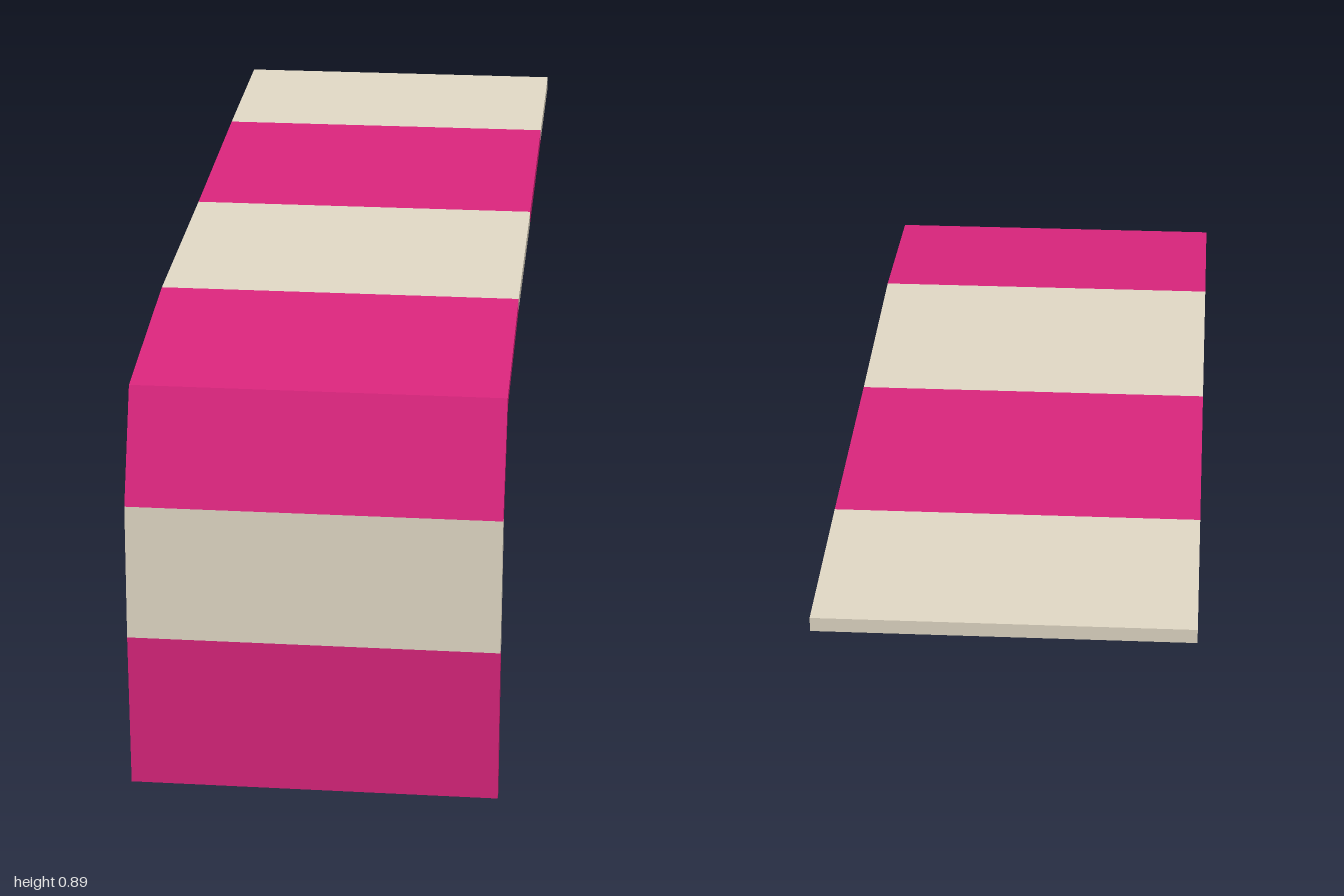
import * as THREE from 'three';

const WIDTH = 0.726;

// Joints of the bent strip, from floor to far end: outer z, y and inner z, y
const JOINTS = [
  [1, 0, 0.972, 0],
  [1, 0.318, 0.972, 0.318],
  [0.986, 0.59, 0.959, 0.586],
  [0.895, 0.805, 0.878, 0.783],
  [0.48, 0.853, 0.48, 0.825],
  [-0.04, 0.863, -0.04, 0.834],
  [-0.585, 0.88, -0.585, 0.851],
  [-1, 0.888, -1, 0.859],
];

export function createModel() {
  const pink = new THREE.MeshStandardMaterial({ color: 0xd9257c });
  pink.name = 'pink';
  const beige = new THREE.MeshStandardMaterial({ color: 0xe0d7c4 });
  beige.name = 'beige';

  // Panels between successive joints
  const panels = [
    ['lowerFrontPanel', pink],
    ['middleFrontPanel', beige],
    ['upperFrontPanel', pink],
    ['slopedTopPanel', pink],
    ['frontTopPanel', beige],
    ['middleTopPanel', pink],
    ['rearTopPanel', beige],
  ];

  const group = new THREE.Group();
  group.name = 'bentStripedPanel';
  panels.forEach(([name, material], i) => {
    const [az, ay, bz, by] = JOINTS[i];
    const [cz, cy, dz, dy] = JOINTS[i + 1];
    const section = new THREE.Shape([
      new THREE.Vector2(az, ay),
      new THREE.Vector2(cz, cy),
      new THREE.Vector2(dz, dy),
      new THREE.Vector2(bz, by),
    ]);
    const geometry = new THREE.ExtrudeGeometry(section, { depth: WIDTH, bevelEnabled: false });
    geometry.translate(0, 0, -WIDTH / 2);
    geometry.rotateY(-Math.PI / 2); // section x becomes model z
    const mesh = new THREE.Mesh(geometry, material);
    mesh.name = name;
    group.add(mesh);
  });
  return group;
}
